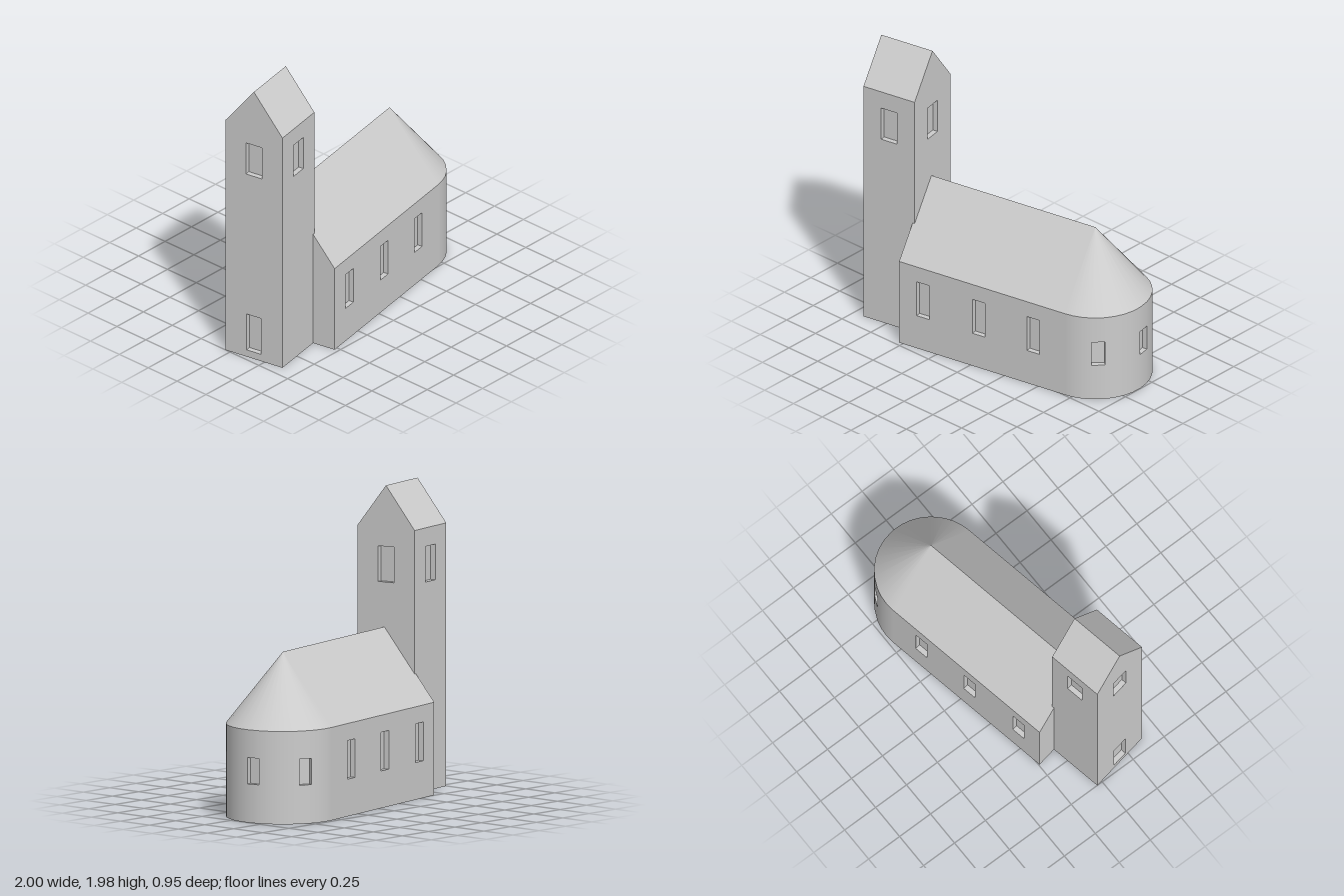
import * as THREE from 'three';

const stone = new THREE.MeshStandardMaterial({ color: 0xcccccc });
stone.name = 'pale grey stone';

const DEPTH = 0.035; // window recess depth

function add(parent, geometry, name) {
  const mesh = new THREE.Mesh(geometry, stone);
  mesh.name = name;
  parent.add(mesh);
  return mesh;
}

// Open-fronted box seen from inside, its opening flush with z = 0
function nicheGeometry(w, h, d) {
  const g = new THREE.BoxGeometry(w, h, d).scale(1, 1, -1).translate(0, 0, -d / 2);
  g.setIndex(Array.from(g.index.array).slice(0, 30));
  g.clearGroups();
  g.computeVertexNormals();
  return g;
}

// Flat wall with recessed windows; a positive rise gives it a gable
// windows: [centre x, bottom, top, width]
function wall(parent, name, width, eave, rise, windows, x, z, turn) {
  const group = new THREE.Group();
  group.name = name;
  group.position.set(x, 0, z);
  group.rotation.y = turn;
  parent.add(group);

  const h = width / 2;
  const shape = new THREE.Shape();
  shape.moveTo(-h, 0).lineTo(h, 0).lineTo(h, eave);
  if (rise > 0) shape.lineTo(0, eave + rise);
  shape.lineTo(-h, eave);
  shape.closePath();
  for (const [cx, y0, y1, w] of windows) {
    const hole = new THREE.Path();
    hole.moveTo(cx - w / 2, y0).lineTo(cx - w / 2, y1).lineTo(cx + w / 2, y1).lineTo(cx + w / 2, y0);
    hole.closePath();
    shape.holes.push(hole);
    add(group, nicheGeometry(w, y1 - y0, DEPTH), 'windowRecess').position.set(cx, (y0 + y1) / 2, 0);
  }
  add(group, new THREE.ShapeGeometry(shape), 'wallFace');
}

// Two mirrored roof slopes meeting at a ridge along x
function gableRoof(parent, name, x0, x1, half, eave, rise, z) {
  for (const side of [1, -1]) {
    const slope = add(parent, new THREE.PlaneGeometry(x1 - x0, Math.hypot(half, rise)), name);
    slope.rotation.order = 'YXZ';
    slope.rotation.set(-Math.atan2(half, rise), side > 0 ? 0 : Math.PI, 0);
    slope.position.set((x0 + x1) / 2, eave + rise / 2, z + side * half / 2);
  }
}

function floor(parent, shape, name) {
  add(parent, new THREE.ShapeGeometry(shape, 18).rotateX(Math.PI / 2), name);
}

// Nave dimensions
const L = 1.25, R = 0.365, EAVE = 0.6, RISE = 0.46;

function buildNave() {
  const nave = new THREE.Group();
  nave.name = 'nave';
  const xs = [0.18, 0.6, 1.01].map((x) => x - L / 2);
  for (const side of [1, -1]) {
    const windows = xs.map((x) => [side * x, 0.24, 0.49, 0.095]);
    wall(nave, side > 0 ? 'naveFrontWall' : 'naveBackWall', L, EAVE, 0, windows,
      L / 2, side * R, side > 0 ? 0 : Math.PI);
  }
  wall(nave, 'naveGable', 2 * R, EAVE, RISE, [], 0, 0, -Math.PI / 2);
  gableRoof(nave, 'naveRoof', 0, L, R, EAVE, RISE, 0);

  const plan = new THREE.Shape();
  plan.moveTo(0, -R).lineTo(L, -R);
  plan.absarc(L, 0, R, -Math.PI / 2, Math.PI / 2, false);
  plan.lineTo(0, R);
  plan.closePath();
  floor(nave, plan, 'naveFloor');
  return nave;
}

// Half-round end with a half-cone roof and three recessed windows
function buildApse() {
  const apse = new THREE.Group();
  apse.name = 'apse';
  apse.position.x = L;
  const w = 0.085, y0 = 0.25, y1 = 0.42;
  const halfAngle = Math.asin(w / 2 / R);

  const band = (name, a0, a1, bottom, top, topRadius, segments) => {
    const g = new THREE.CylinderGeometry(topRadius, R, top - bottom, segments, 1, true, a0, a1 - a0);
    add(apse, g, name).position.y = (bottom + top) / 2;
  };
  const cone = (a0, a1, segments) => band('apseRoof', a0, a1, EAVE, EAVE + RISE, 0, segments);

  let last = 0;
  const solid = (end) => {
    const segments = Math.max(2, Math.round((end - last) / 0.18));
    band('apseWall', last, end, 0, EAVE, R, segments);
    cone(last, end, segments);
  };
  for (const degrees of [35, 90, 145]) {
    const a = THREE.MathUtils.degToRad(degrees);
    const a0 = a - halfAngle, a1 = a + halfAngle;
    solid(a0);
    band('apseWallBelowWindow', a0, a1, 0, y0, R, 1);
    band('apseWallAboveWindow', a0, a1, y1, EAVE, R, 1);
    cone(a0, a1, 1);
    const recess = add(apse, nicheGeometry(w, y1 - y0, DEPTH), 'windowRecess');
    const r = R * Math.cos(halfAngle);
    recess.position.set(r * Math.sin(a), (y0 + y1) / 2, r * Math.cos(a));
    recess.rotation.y = a;
    last = a1;
  }
  solid(Math.PI);
  return apse;
}

function buildTower() {
  const tower = new THREE.Group();
  tower.name = 'tower';
  const x0 = -0.37, x1 = 0.015, half = 0.215, z = -0.012, eave = 1.7, rise = 0.275;
  const mid = (x0 + x1) / 2, len = x1 - x0;
  const belfry = [0, 1.35, 1.58, 0.12];
  const door = [0, 0.05, 0.315, 0.11];
  wall(tower, 'towerFrontWall', len, eave, 0, [belfry], mid, z + half, 0);
  wall(tower, 'towerBackWall', len, eave, 0, [belfry], mid, z - half, Math.PI);
  wall(tower, 'towerInnerGable', 2 * half, eave, rise, [belfry], x1, z, Math.PI / 2);
  wall(tower, 'towerOuterGable', 2 * half, eave, rise, [belfry, door], x0, z, -Math.PI / 2);
  gableRoof(tower, 'towerRoof', x0, x1, half, eave, rise, z);

  // Floor stops at the nave gable
  const plan = new THREE.Shape();
  plan.moveTo(x0, z - half).lineTo(0, z - half).lineTo(0, z + half).lineTo(x0, z + half);
  plan.closePath();
  floor(tower, plan, 'towerFloor');
  return tower;
}

export function createModel() {
  const model = new THREE.Group();
  model.name = 'church';
  // The building stands slightly turned on its plot
  const building = new THREE.Group();
  building.name = 'building';
  building.rotation.y = THREE.MathUtils.degToRad(10.6);
  building.position.set(-0.595, 0, 0.115);
  building.add(buildNave(), buildApse(), buildTower());
  model.add(building);
  return model;
}
